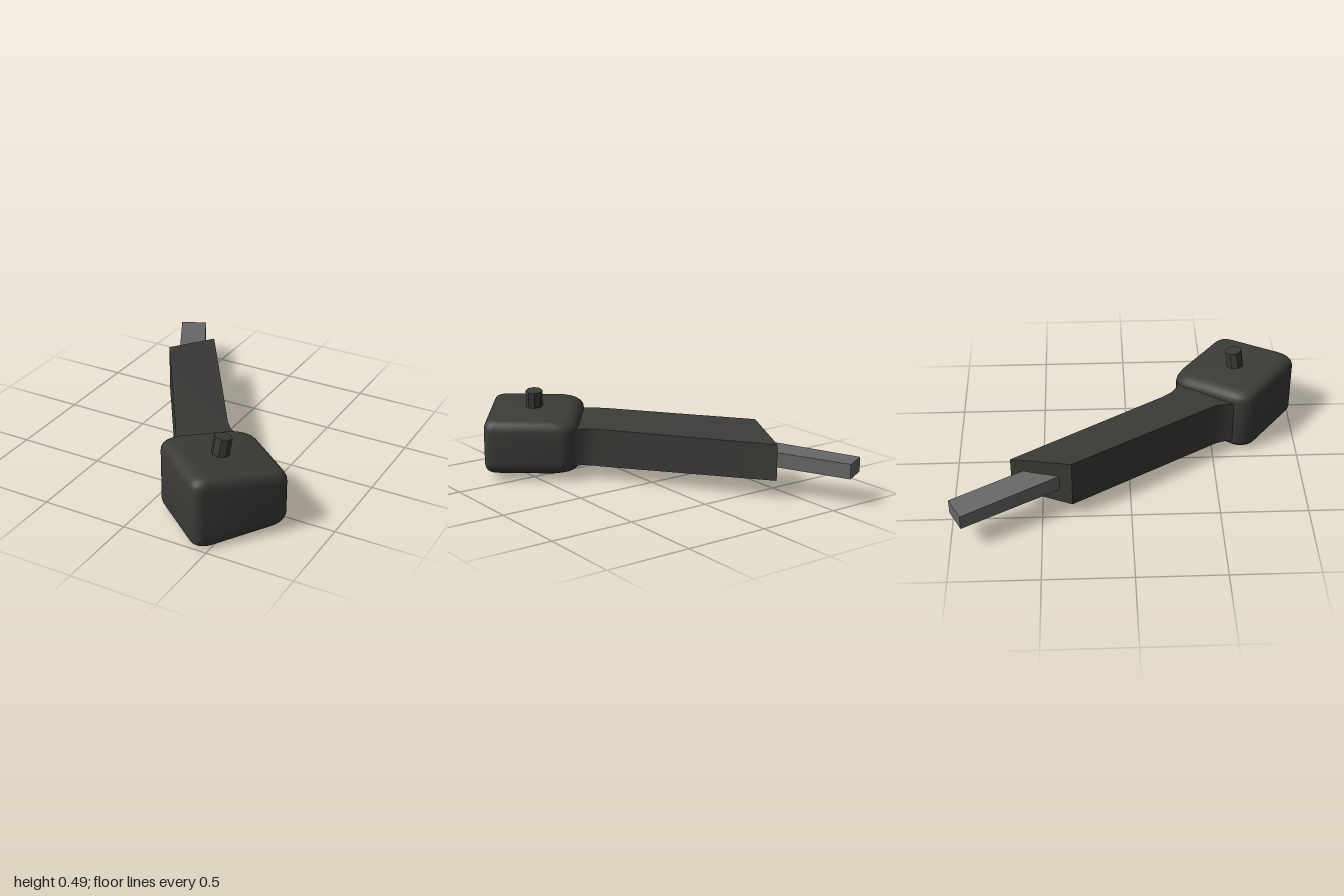
import * as THREE from 'three';
import { toCreasedNormals } from 'three/addons/utils/BufferGeometryUtils.js';

// Skin a list of equal-length rings and cap both ends
function loft(rings, crease) {
  const n = rings[0].length, pos = rings.flat(2), idx = [];
  for (let i = 0; i < rings.length - 1; i++) {
    for (let j = 0; j < n; j++) {
      const a = i * n + j, b = i * n + (j + 1) % n;
      idx.push(a, b, b + n, a, b + n, a + n);
    }
  }
  const end = (rings.length - 1) * n;
  for (let j = 1; j < n - 1; j++) idx.push(0, j + 1, j, end, end + j, end + j + 1);

  // Turn every face outward, judged by the signed volume
  const p = (i) => new THREE.Vector3().fromArray(pos, i * 3);
  let volume = 0;
  for (let i = 0; i < idx.length; i += 3) volume += p(idx[i]).dot(p(idx[i + 1]).cross(p(idx[i + 2])));
  if (volume < 0) idx.reverse();

  const g = new THREE.BufferGeometry();
  g.setAttribute('position', new THREE.Float32BufferAttribute(pos, 3));
  g.setIndex(idx);
  return toCreasedNormals(g, crease);
}

// Head directions in plan: a runs along the wide front edge, b across it
const TURN = 0.672, C = Math.cos(TURN), S = Math.sin(TURN);
const topY = (b) => 0.36 + 0.125 * b;
const bottomY = (b) => 0.045 - 0.09 * b;

// Rounded-square ring of the head, pulled in by inset and away from the cap by drop
function headRing(inset, drop, top) {
  const a0 = 0.435 + inset, a1 = 0.988 - inset * 0.4;
  const b0 = -0.018 + inset * 0.6, b1 = 0.53 - inset;
  const big = 0.11, small = 0.06, steps = 6, ring = [];
  const corners = [[a1 - small, b1 - small, small], [a0 + big, b1 - big, big],
    [a0 + big, b0 + big, big], [a1 - small, b0 + small, small]];
  corners.forEach(([ca, cb, r], k) => {
    for (let s = 0; s <= steps; s++) {
      const t = (k + s / steps) * Math.PI / 2;
      const a = ca + r * Math.cos(t), b = cb + r * Math.sin(t);
      ring.push([a * C - b * S, top ? topY(b) - drop : bottomY(b) + drop, a * S + b * C]);
    }
  });
  return ring;
}

function headGeometry() {
  const steps = 6, bottom = [], top = [];
  for (let i = 0; i <= steps; i++) {
    const t = i / steps * Math.PI / 2;
    const inset = 0.085 * (1 - Math.sin(t)), drop = 0.065 * (1 - Math.cos(t));
    bottom.push(headRing(inset, drop, false));
    top.unshift(headRing(inset, drop, true));
  }
  return loft([...bottom, ...top], 0.6);
}

// Four-cornered ring: left and right edge in plan, each with its top and bottom height
const section = ([lx, lz, lTop, lBottom], [rx, rz, rTop, rBottom]) => [
  [lx, lTop, lz], [rx, rTop, rz], [rx, rBottom, rz], [lx, lBottom, lz],
];

export function createModel() {
  const group = new THREE.Group();
  const dark = new THREE.MeshStandardMaterial({ color: 0x3c3b38 });
  const grey = new THREE.MeshStandardMaterial({ color: 0x686868 });
  const add = (name, geometry, material) => {
    const mesh = new THREE.Mesh(geometry, material);
    mesh.name = name;
    group.add(mesh);
    return mesh;
  };

  add('head', headGeometry(), dark);

  // Arm with an oblique cut end, flaring into the head
  add('arm', loft([
    section([-0.5, -0.33, 0.38, 0.095], [-0.375, -0.67, 0.325, 0.115]),
    section([0, 0.45, 0.36, 0.075], [0.2, 0.21, 0.31, 0.085]),
    section([0.035, 0.505, 0.357, 0.075], [0.245, 0.265, 0.31, 0.087]),
    section([0.058, 0.56, 0.35, 0.075], [0.29, 0.297, 0.31, 0.09]),
    section([0.068, 0.62, 0.34, 0.075], [0.35, 0.307, 0.31, 0.09]),
    section([0.15, 0.7, 0.33, 0.08], [0.45, 0.4, 0.31, 0.09]),
  ], 0.5), dark);

  // Slim blade leaving the cut end
  add('blade', loft([
    section([-0.76, -0.93, 0.25, 0.165], [-0.62, -1, 0.248, 0.162]),
    section([-0.45, -0.355, 0.28, 0.185], [-0.29, -0.4, 0.27, 0.185]),
  ], 0.4), grey);

  // Slightly leaning knob on top of the head
  const knob = add('knob', toCreasedNormals(new THREE.CylinderGeometry(0.05, 0.05, 0.14, 8), 0.5), dark);
  knob.position.set(0.398, 0.422, 0.65);
  knob.rotation.set(-0.12, 0.28, -0.1);

  return group;
}
